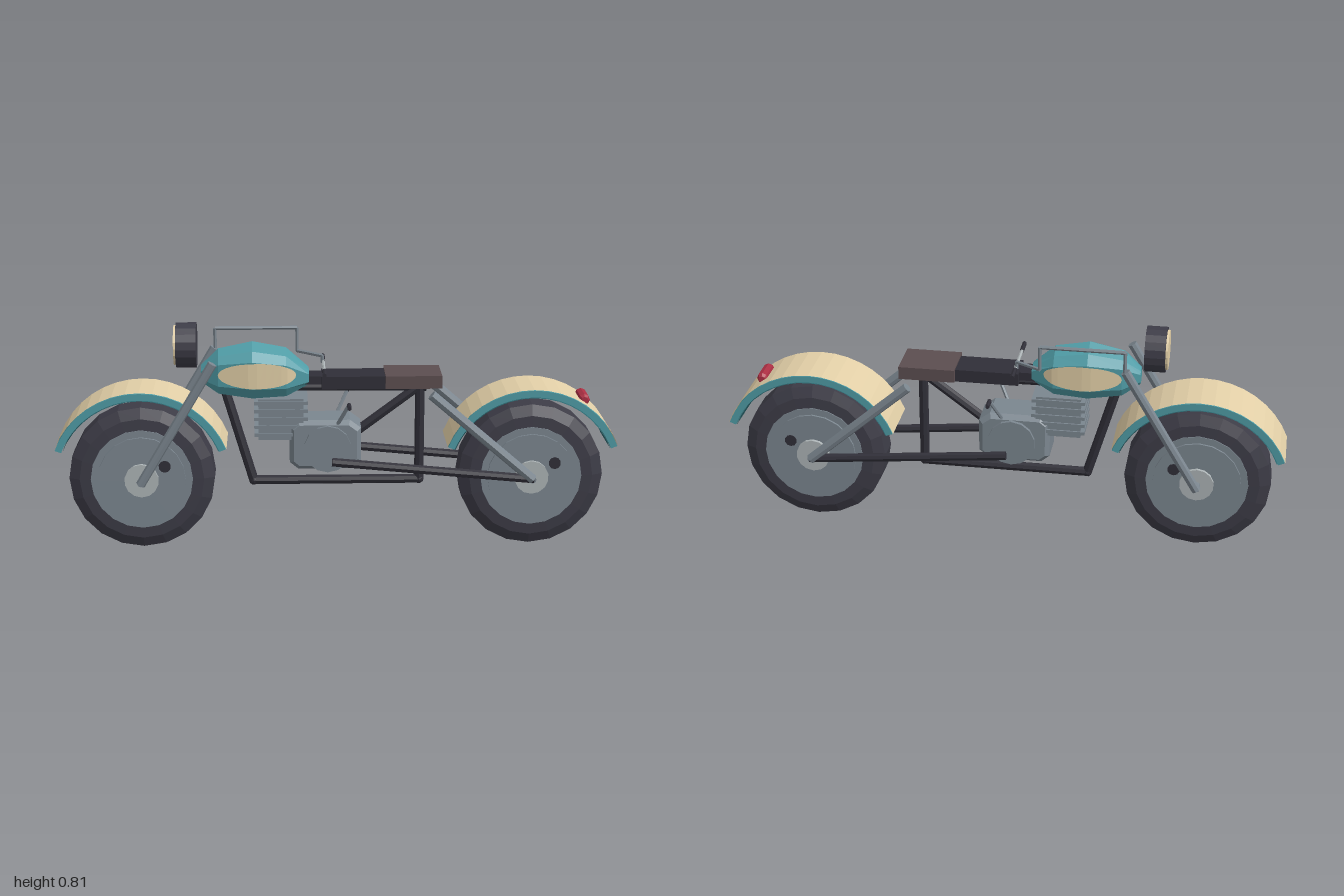
import * as THREE from 'three';

const mat = (name, color, extra = {}) => new THREE.MeshStandardMaterial({ name, color, flatShading: true, ...extra });

export function createModel() {
  const teal = mat('teal paint', 0x4f9ca6);
  const darkTeal = mat('dark teal lining', 0x2b676f, { side: THREE.DoubleSide });
  const cream = mat('cream paint', 0xe2cfa7, { side: THREE.DoubleSide });
  const rubber = mat('tyre rubber', 0x3d3c47);
  const black = mat('black frame', 0x302f38);
  const steel = mat('grey steel', 0x7b868f);
  const bright = mat('bright metal', 0xadb4b6);
  const brown = mat('brown leather', 0x5c4e50);
  const red = mat('red lens', 0xac2f43);

  const model = new THREE.Group();
  model.name = 'motorcycle';
  const add = (name, geo, material, x = 0, y = 0, z = 0, parent = model) => {
    const m = new THREE.Mesh(geo, material);
    m.name = name;
    m.position.set(x, y, z);
    parent.add(m);
    return m;
  };
  const box = (name, material, w, h, d, x, y, z = 0) => add(name, new THREE.BoxGeometry(w, h, d), material, x, y, z);
  // straight round bar between two points
  const bar = (name, a, b, r, material, sides = 8) => {
    const p = new THREE.Vector3(...a), q = new THREE.Vector3(...b), d = q.clone().sub(p);
    const m = add(name, new THREE.CylinderGeometry(r, r, d.length(), sides), material);
    m.position.copy(p).add(q).multiplyScalar(0.5);
    m.quaternion.setFromUnitVectors(new THREE.Vector3(0, 1, 0), d.normalize());
    return m;
  };
  // disc with its axis along z
  const disc = (name, r, half, material, x, y, parent = model, sides = 20) =>
    add(name, new THREE.CylinderGeometry(r, r, 2 * half, sides).rotateX(Math.PI / 2), material, x, y, 0, parent);
  // solid of revolution around z, from [radius, z] points
  const turned = (points, sides) =>
    new THREE.LatheGeometry(points.map(p => new THREE.Vector2(...p)), sides).rotateX(Math.PI / 2);

  const axleY = 0.263, arcStart = 0.375, arcEnd = Math.PI - 0.375;

  // wheels and mudguards
  for (const [end, x] of [['front', -0.698], ['rear', 0.695]]) {
    const wheel = new THREE.Group();
    wheel.name = end + 'Wheel';
    wheel.position.set(x, axleY, 0);
    model.add(wheel);
    add('tyre', turned([[0.15, -0.06], [0.175, -0.069], [0.222, -0.066], [0.26, -0.048],
      [0.26, 0.048], [0.222, 0.066], [0.175, 0.069], [0.15, 0.06]], 20), rubber, 0, 0, 0, wheel);
    disc('rim', 0.182, 0.072, steel, 0, 0, wheel);
    disc('wheelDisc', 0.157, 0.08, steel, 0, 0, wheel);
    disc('hub', 0.061, 0.092, bright, 0, 0, wheel, 14);
    disc('axle', 0.014, 0.12, steel, 0, 0, wheel, 8);
    disc('valveHole', 0.022, 0.083, black, 0.083, 0.05, wheel, 10);

    const R = 0.324, arc = new THREE.Shape();
    arc.absarc(0, 0, R, arcStart, arcEnd, false);
    arc.absarc(0, 0, R - 0.024, arcEnd, arcStart, true);
    const guard = new THREE.ExtrudeGeometry(arc, { depth: 0.206, bevelEnabled: false, curveSegments: 16 });
    add(end + 'MudguardRim', guard.translate(0, 0, -0.103), teal, x, axleY);
    const shell = (name, r, width, material) => add(end + name, new THREE.CylinderGeometry(r, r, width, 16, 1, true,
      arcStart + Math.PI / 2, arcEnd - arcStart).rotateX(Math.PI / 2), material, x, axleY);
    shell('MudguardSkin', R + 0.003, 0.206, cream);
    shell('MudguardLining', R - 0.027, 0.204, darkTeal);
  }

  // tail light on the rear mudguard
  add('tailLight', turned([[0, -0.053], [0.013, -0.053], [0.021, -0.042], [0.021, 0.042], [0.013, 0.053], [0, 0.053]], 8),
    red, 0.881, 0.537);

  // fork, swing arm, rear struts and foot levers on both sides
  for (const s of [1, -1]) {
    bar('forkLeg', [-0.7, 0.258, s * 0.12], [-0.437, 0.698, s * 0.12], 0.017, steel);
    bar('swingArm', [-0.02, 0.335, s * 0.115], [0.7, 0.265, s * 0.115], 0.016, black);
    bar('rearStrut', [0.695, 0.265, s * 0.12], [0.33, 0.58, s * 0.12], 0.018, steel);
    bar('footLever', [0, 0.46, s * 0.07], [0.04, 0.54, s * 0.1], 0.007, steel, 6);
    bar('footPeg', [0.04, 0.54, s * 0.098], [0.04, 0.54, s * 0.148], 0.008, black, 6);
    bar('grip', [-0.047, 0.66, s * 0.078], [-0.047, 0.66, s * 0.147], 0.008, black, 6);
  }
  bar('handlebar', [-0.047, 0.66, -0.08], [-0.047, 0.66, 0.08], 0.006, bright, 6);

  // control rod running forward from the bar
  const rod = [[-0.435, 0.695, -0.12], [-0.435, 0.77, -0.12], [-0.14, 0.77, -0.12],
    [-0.14, 0.685, -0.12], [-0.05, 0.68, -0.06], [-0.05, 0.655, -0.06]];
  rod.slice(1).forEach((p, i) => bar('controlRod', rod[i], p, 0.007, steel, 6));

  // frame
  const frame = [[-0.4, 0.58, 0], [-0.3, 0.235, 0], [0.297, 0.235, 0], [0.297, 0.595, 0]];
  frame.slice(1).forEach((p, i) => bar('frameTube', frame[i], p, 0.017, black));
  frame.slice(1, 3).forEach(p => add('frameJoint', new THREE.IcosahedronGeometry(0.018, 1), black, ...p));
  bar('topTube', [-0.38, 0.585, 0], [0.32, 0.578, 0], 0.015, black);
  bar('seatBrace', [0.05, 0.4, 0], [0.297, 0.585, 0], 0.017, black);

  // seat
  box('seat', brown, 0.2, 0.046, 0.16, 0.27, 0.615);
  box('saddleNose', black, 0.24, 0.045, 0.12, 0.065, 0.61);
  box('saddleTip', black, 0.09, 0.03, 0.08, -0.09, 0.615);

  // engine
  box('cylinderBlock', steel, 0.16, 0.15, 0.14, -0.2, 0.48);
  for (let i = 0; i < 5; i++) box('coolingFin', steel, 0.19, 0.012, 0.152, -0.2, 0.425 + i * 0.029);
  const crank = new THREE.Shape([[-0.13, -0.065], [-0.1, -0.09], [0.085, -0.09], [0.125, -0.06],
    [0.125, 0.06], [0.085, 0.09], [-0.1, 0.09], [-0.13, 0.065]].map(p => new THREE.Vector2(...p)));
  add('crankcase', new THREE.ExtrudeGeometry(crank, { depth: 0.12, bevelThickness: 0.02, bevelSize: 0.015,
    bevelOffset: -0.015, bevelSegments: 1 }).translate(0, 0, -0.06), steel, -0.04, 0.385);
  disc('engineCover', 0.085, 0.093, steel, -0.035, 0.375, model, 14);

  // fuel tank: faceted cross-sections [x, bottom, top, half width]
  const sections = [[-0.482, 0.605, 0.665, 0.03], [-0.42, 0.56, 0.725, 0.064], [-0.3, 0.542, 0.75, 0.083],
    [-0.18, 0.55, 0.727, 0.074], [-0.1, 0.595, 0.655, 0.042]];
  const rings = sections.map(([x, b, t, w]) => {
    const h = t - b, half = [[0, t], [0.66, t - 0.12 * h], [1, t - 0.28 * h], [1, b + 0.25 * h], [0.65, b + 0.06 * h], [0, b]];
    const left = half.map(([k, y]) => [x, y, k * w]);
    return [...left, ...half.slice(1, 5).reverse().map(([k, y]) => [x, y, -k * w])];
  });
  const pos = [], n = rings[0].length;
  const tri = (...p) => p.forEach(v => pos.push(...v));
  for (let i = 0; i < rings.length - 1; i++) for (let j = 0; j < n; j++) {
    const k = (j + 1) % n, a = rings[i], b = rings[i + 1];
    tri(a[j], a[k], b[k]);
    tri(a[j], b[k], b[j]);
  }
  const first = rings[0], last = rings[rings.length - 1];
  for (let j = 1; j < n - 1; j++) {
    tri(first[0], first[j + 1], first[j]);
    tri(last[0], last[j], last[j + 1]);
  }
  const toGeo = p => {
    const g = new THREE.BufferGeometry();
    g.setAttribute('position', new THREE.Float32BufferAttribute(p, 3));
    g.computeVertexNormals();
    return g;
  };
  add('fuelTank', toGeo(pos), teal);

  // oval side panels following the tank's width
  const widthAt = x => {
    const i = Math.max(1, sections.findIndex(s => s[0] >= x)), a = sections[i - 1], b = sections[i];
    return a[3] + (b[3] - a[3]) * (x - a[0]) / (b[0] - a[0]);
  };
  for (const s of [1, -1]) {
    const panel = [], steps = 14;
    const edge = i => {
      const a = Math.PI * i / steps, x = -0.283 - 0.138 * Math.cos(a), dy = 0.046 * Math.sin(a), z = s * (widthAt(x) + 0.005);
      return [[x, 0.642 - dy, z], [x, 0.642 + dy, z]];
    };
    for (let i = 0; i < steps; i++) {
      const [a, b] = edge(i), [c, d] = edge(i + 1);
      const quad = s > 0 ? [a, c, d, a, d, b] : [a, d, c, a, b, d];
      quad.forEach(v => panel.push(...v));
    }
    add('tankPanel', toGeo(panel), cream);
  }

  // headlight facing forward
  add('headlight', new THREE.CylinderGeometry(0.08, 0.08, 0.072, 18).rotateZ(Math.PI / 2), rubber, -0.532, 0.738);
  add('headlightLens', new THREE.CylinderGeometry(0.07, 0.07, 0.008, 18).rotateZ(Math.PI / 2), cream, -0.572, 0.738);

  return model;
}
